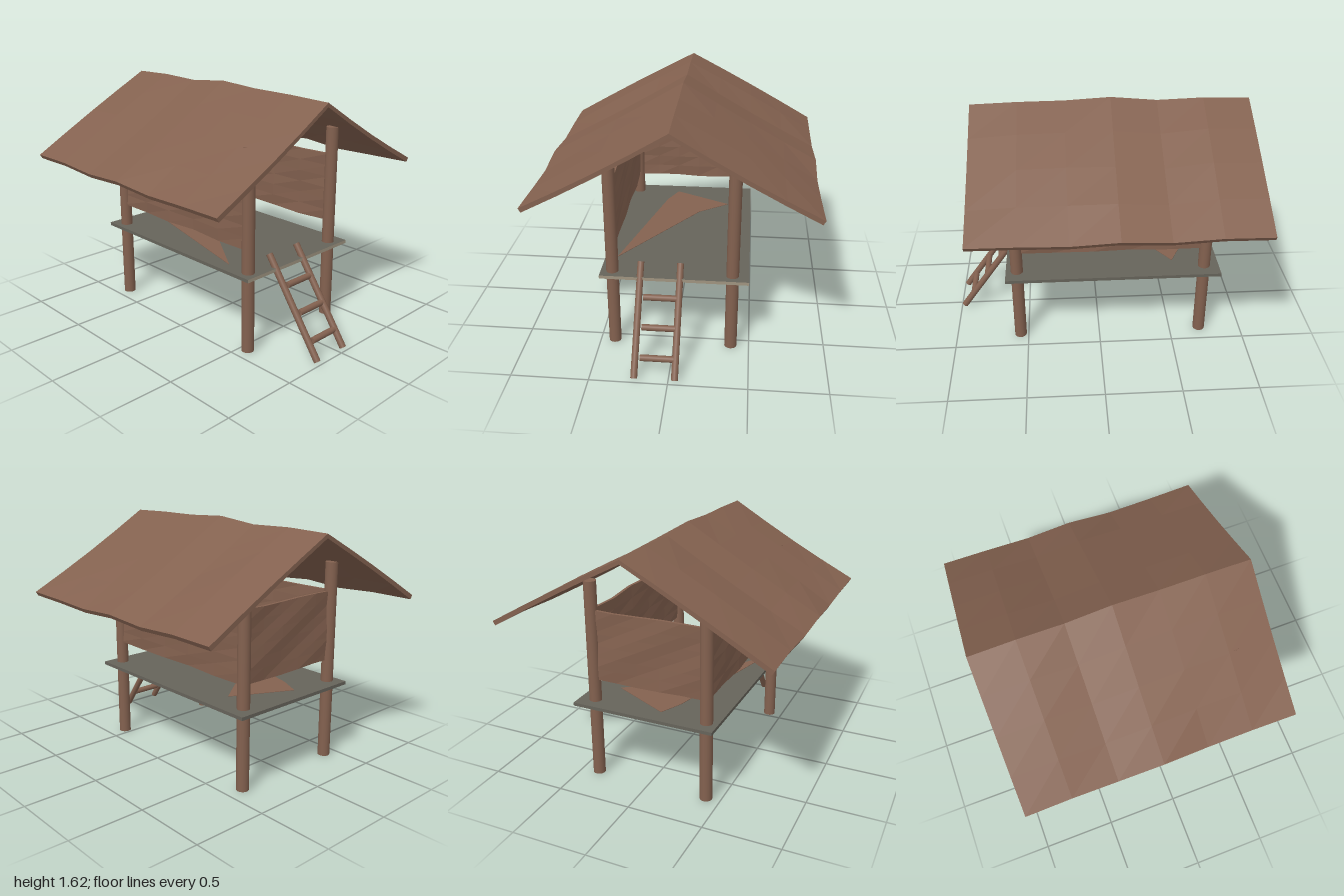
import * as THREE from 'three';

const brown = new THREE.MeshStandardMaterial({ color: 0x83614f });
brown.name = 'brown wood';
const grey = new THREE.MeshStandardMaterial({ color: 0x66635a });
grey.name = 'grey board';
const tan = new THREE.MeshStandardMaterial({ color: 0xa09581 });
tan.name = 'cut end';

function add(parent, name, geometry, material) {
  const mesh = new THREE.Mesh(geometry, material);
  mesh.name = name;
  parent.add(mesh);
  return mesh;
}

// Moves every vertex by a rule, then gives each facet its own normal
function shaped(geometry, rule) {
  const p = geometry.attributes.position;
  const v = new THREE.Vector3();
  for (let i = 0; i < p.count; i++) {
    v.fromBufferAttribute(p, i);
    rule(v);
    p.setXYZ(i, v.x, v.y, v.z);
  }
  const flat = geometry.toNonIndexed();
  flat.computeVertexNormals();
  return flat;
}

// Round pole between two points
function pole(parent, name, a, b, radius) {
  const dir = b.clone().sub(a);
  const mesh = add(parent, name, new THREE.CylinderGeometry(radius, radius, dir.length(), 16), brown);
  mesh.position.copy(a).add(b).multiplyScalar(0.5);
  mesh.quaternion.setFromUnitVectors(new THREE.Vector3(0, 1, 0), dir.normalize());
  return mesh;
}

// One slope of the roof; side is +1 for the front, -1 for the back
function roofSlope(side) {
  const ridge = [1.595, 1.602, 1.592, 1.62, 1.603, 1.6, 1.59];
  const eave = [1.1, 1.1, 1.083, 1.1, 1.077, 1.085, 1.09];
  const reach = [0.91, 0.905, 0.905, 0.91, 0.9, 0.9, 0.905];
  return shaped(new THREE.BoxGeometry(1.81, 1, 1, 6, 1, 4), (v) => {
    const col = Math.round((v.x / 1.81 + 0.5) * 6);
    const t = side * v.z + 0.5;
    const under = v.y < 0 ? 1 : 0;
    const sag = 0.014 * Math.sin(t * Math.PI) * Math.sin(col * 1.7 + 0.6);
    v.x -= 0.092;
    v.y = THREE.MathUtils.lerp(ridge[col], eave[col], t) + sag - under * 0.027;
    v.z = side * (reach[col] * t - under * 0.016 * t);
  });
}

// Woven wall panel with uneven edges
function panel(length, seed) {
  return shaped(new THREE.BoxGeometry(length, 0.47, 0.02, 5, 6, 1), (v) => {
    const wave = Math.sin(v.x * 9 + seed);
    v.z += 0.006 * Math.sin(v.x * 11 + v.y * 17 + seed);
    if (Math.abs(v.y) > 0.23) v.y += 0.005 * wave;
  });
}

export function createModel() {
  const hut = new THREE.Group();
  hut.name = 'stiltHut';

  // Corner posts
  for (const x of [-0.71, 0.555]) {
    for (const z of [0.404, -0.378]) {
      pole(hut, 'post', new THREE.Vector3(x, 0, z), new THREE.Vector3(x, 1.35, z), 0.041);
    }
  }

  // Platform with a pale cut end
  const floor = add(hut, 'floor', new THREE.BoxGeometry(1.44, 0.022, 0.965),
    [tan, grey, grey, grey, grey, grey]);
  floor.position.set(-0.09, 0.529, -0.002);

  // Floor mat
  const mat = new THREE.Shape([
    [-0.7, 0.09], [-0.55, 0.16], [0.38, 0.4], [-0.35, -0.1], [-0.5, -0.31],
  ].map(([x, z]) => new THREE.Vector2(x, -z)));
  const matMesh = add(hut, 'floorMat',
    new THREE.ExtrudeGeometry(mat, { depth: 0.004, bevelEnabled: false }), brown);
  matMesh.rotation.x = -Math.PI / 2;
  matMesh.position.y = 0.539;

  // Walls on three sides, open towards the ladder
  add(hut, 'frontWall', panel(1.24, 0.5), brown).position.set(-0.078, 0.924, 0.404);
  add(hut, 'backWall', panel(1.24, 2.1), brown).position.set(-0.078, 0.924, -0.378);
  const end = add(hut, 'endWall', panel(0.77, 3.4), brown);
  end.position.set(-0.71, 0.924, 0.013);
  end.rotation.y = Math.PI / 2;

  // Gabled roof
  add(hut, 'frontRoof', roofSlope(1), brown);
  add(hut, 'backRoof', roofSlope(-1), brown);

  // Ladder
  const ladder = new THREE.Group();
  ladder.name = 'ladder';
  hut.add(ladder);
  const railX = (y) => 0.977 - (y - 0.015) / 1.425;
  for (const z of [0.215, -0.042]) {
    pole(ladder, 'rail', new THREE.Vector3(railX(0.015), 0.015, z),
      new THREE.Vector3(railX(0.615), 0.615, z), 0.022);
  }
  for (const y of [0.12, 0.275, 0.43]) {
    pole(ladder, 'rung', new THREE.Vector3(railX(y), y, -0.03),
      new THREE.Vector3(railX(y), y, 0.184), 0.021);
  }
  return hut;
}
